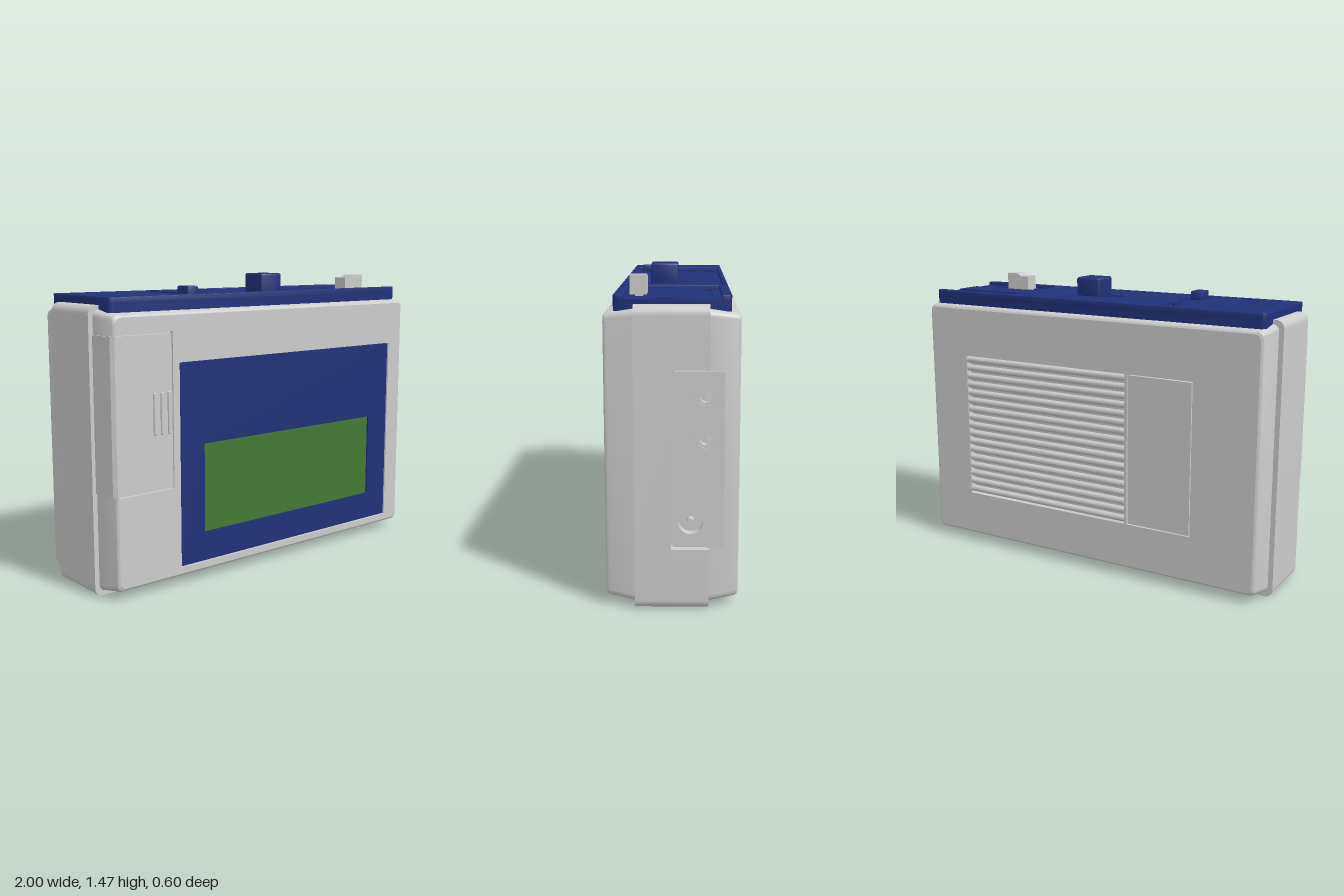
import * as THREE from 'three';
import { toCreasedNormals } from 'three/addons/utils/BufferGeometryUtils.js';
import { RoundedBoxGeometry } from 'three/addons/geometries/RoundedBoxGeometry.js';

const grey = new THREE.MeshStandardMaterial({ color: 0xcccccc });
const blue = new THREE.MeshStandardMaterial({ color: 0x223178 });
const green = new THREE.MeshStandardMaterial({ color: 0x447933 });

function add(parent, name, geometry, material = grey, x = 0, y = 0, z = 0) {
  const mesh = new THREE.Mesh(geometry, material);
  mesh.name = name;
  mesh.position.set(x, y, z);
  parent.add(mesh);
  return mesh;
}

function group(parent, name) {
  const g = new THREE.Group();
  g.name = name;
  parent.add(g);
  return g;
}

// Rounded rectangle, counter-clockwise
function rect(x0, x1, y0, y1, r = 0.004) {
  const s = new THREE.Shape();
  s.absarc(x1 - r, y0 + r, r, -Math.PI / 2, 0);
  s.absarc(x1 - r, y1 - r, r, 0, Math.PI / 2);
  s.absarc(x0 + r, y1 - r, r, Math.PI / 2, Math.PI);
  s.absarc(x0 + r, y0 + r, r, Math.PI, Math.PI * 1.5);
  s.closePath();
  return s;
}

function circle(x, y, r) {
  return new THREE.Shape().absarc(x, y, r, 0, Math.PI * 2);
}

// Extrusion between z0 and z1, with optional holes and rounded rim
function slab(shape, z0, z1, holes = [], bevel = 0) {
  shape.holes.push(...holes);
  const g = new THREE.ExtrudeGeometry(shape, {
    depth: z1 - z0 - 2 * bevel, curveSegments: 12, bevelEnabled: bevel > 0,
    bevelSize: bevel, bevelThickness: bevel, bevelOffset: -bevel, bevelSegments: 3,
  });
  g.translate(0, 0, z0 + bevel);
  return toCreasedNormals(g, 0.6);
}

// Skin through rounded rectangles given as [x0, x1, y0, y1, r, z]
function loft(sections) {
  const rings = sections.map(([x0, x1, y0, y1, r, z]) =>
    rect(x0, x1, y0, y1, r).getPoints(6).map((p) => [p.x, p.y, z]));
  const n = rings[0].length, index = [];
  for (let k = 0; k < rings.length - 1; k++) {
    for (let i = 0; i < n; i++) {
      const a = k * n + i, b = k * n + (i + 1) % n;
      index.push(a, b, b + n, a, b + n, a + n);
    }
  }
  const g = new THREE.BufferGeometry();
  g.setAttribute('position', new THREE.Float32BufferAttribute(rings.flat(2), 3));
  g.setIndex(index);
  return toCreasedNormals(g, 0.6);
}

// Tapered half shell with cut-outs in its face
function shell(parent, name, face, holes) {
  const g = group(parent, name);
  add(g, 'shellSides', loft([
    [-0.978, 0.978, 0.022, 1.33, 0.03, 0.15],
    [-0.958, 0.958, 0.042, 1.312, 0.03, face - 0.018],
    [-0.953, 0.953, 0.047, 1.307, 0.03, face - 0.006],
    [-0.943, 0.943, 0.057, 1.297, 0.03, face],
  ]));
  add(g, 'shellFace', slab(rect(-0.943, 0.943, 0.057, 1.297, 0.03), face - 0.035, face, holes));
  return g;
}

function buildFront(root) {
  const g = shell(root, 'frontShell', 0.29, [rect(-0.597, 0.852, 0.088, 1.077), rect(-0.938, -0.635, 0.485, 1.222)]);
  add(g, 'displayPanel', slab(rect(-0.593, 0.848, 0.092, 1.073), 0.25, 0.285, [rect(-0.45, 0.705, 0.235, 0.675)]), blue);
  add(g, 'screen', new THREE.BoxGeometry(1.17, 0.455, 0.02), green, 0.1275, 0.455, 0.266);

  // Door wraps around the corner to the side
  const section = new THREE.Shape([[-0.641, -0.24], [-0.641, -0.29], [-0.948, -0.29], [-0.964, -0.275], [-0.983, -0.162], [-0.9, -0.162]]
    .map(([x, z]) => new THREE.Vector2(x, z)));
  const door = slab(section, 0.491, 1.216);
  door.rotateX(-Math.PI / 2);
  add(g, 'frontDoor', door);
  add(g, 'doorGrooveFloor', new THREE.BoxGeometry(0.34, 0.75, 0.01), grey, -0.775, 0.853, 0.265);
  for (const x of [-0.74, -0.7, -0.66]) {
    add(g, 'gripRidge', new RoundedBoxGeometry(0.016, 0.2, 0.016, 2, 0.006), grey, x, 0.85, 0.291);
  }
}

// Back is modelled facing +z, then turned around
function buildBack(root) {
  const g = shell(root, 'backShell', 0.297, [rect(-0.72, 0.25, 0.28, 1.05), rect(0.265, 0.615, 0.28, 1.05)]);
  g.rotation.y = Math.PI;
  add(g, 'grilleFloor', new THREE.BoxGeometry(1.4, 0.82, 0.01), grey, -0.05, 0.665, 0.257);
  const count = 17, pitch = 0.77 / count;
  for (let i = 0; i < count; i++) {
    const slat = add(g, 'grilleSlat', new THREE.CylinderGeometry(0.017, 0.017, 0.97, 14), grey,
      -0.235, 0.28 + (i + 0.5) * pitch, 0.279);
    slat.rotation.z = Math.PI / 2;
  }
  add(g, 'backDoor', slab(rect(0.27, 0.61, 0.285, 1.045), 0.26, 0.296));
}

function buildBand(root) {
  add(root, 'middleBandFront', slab(rect(-1, 1, 0, 1.348, 0.04), 0, 0.16));
  // Rear part of the band is notched for the socket panel
  const s = new THREE.Shape();
  s.absarc(0.96, 0.04, 0.04, -Math.PI / 2, 0);
  for (const [x, y] of [[1, 0.28], [0.94, 0.28], [0.94, 1.075], [1, 1.075]]) s.lineTo(x, y);
  s.absarc(0.96, 1.308, 0.04, 0, Math.PI / 2);
  s.absarc(-0.96, 1.308, 0.04, Math.PI / 2, Math.PI);
  s.absarc(-0.96, 0.04, 0.04, Math.PI, Math.PI * 1.5);
  add(root, 'middleBandRear', slab(s, -0.165, 0));
}

// Socket panel is drawn in (-z, y) and turned to face +x
function buildSockets(root) {
  const g = group(root, 'socketPanel');
  g.rotation.y = Math.PI / 2;
  const jacks = [[0.15, 0.96], [0.15, 0.775]];
  add(g, 'panelPlate', slab(rect(0.006, 0.23, 0.286, 1.069, 0.01), 0.93, 0.982,
    [...jacks.map(([x, y]) => circle(x, y, 0.046)), circle(0.085, 0.4, 0.054)]));
  for (const [x, y] of jacks) {
    add(g, 'jackRing', slab(circle(x, y, 0.05), 0.95, 0.986, [circle(x, y, 0.04)]));
    add(g, 'jackSleeve', slab(circle(x, y, 0.041), 0.945, 0.98, [circle(x, y, 0.028)]));
  }
  const pin = add(g, 'powerPin', new THREE.CylinderGeometry(0.015, 0.015, 0.04, 16), grey, 0.085, 0.4, 0.958);
  pin.rotation.x = Math.PI / 2;
}

// Top cover is drawn in (x, -z) and turned to face up
function buildTop(root) {
  const g = group(root, 'topCover');
  g.rotation.x = -Math.PI / 2;
  add(g, 'coverBase', slab(rect(-0.945, 0.94, -0.247, 0.257, 0.025), 1.295, 1.36), blue);
  const rim = new THREE.Shape();
  rim.absarc(-0.92, 0.232, 0.025, Math.PI / 2, Math.PI);
  rim.absarc(-0.92, -0.222, 0.025, Math.PI, Math.PI * 1.5);
  rim.absarc(0.915, -0.222, 0.025, -Math.PI / 2, 0);
  for (const [x, y] of [[0.94, -0.205], [0.456, -0.205], [0.456, 0.215], [0.94, 0.215]]) rim.lineTo(x, y);
  rim.absarc(0.915, 0.232, 0.025, 0, Math.PI / 2);
  add(g, 'coverRim', slab(rim, 1.35, 1.385, [rect(-0.71, 0.45, -0.215, 0.235)], 0.008 * 0.3), blue);
  add(g, 'controlPlate', slab(rect(-0.704, 0.452, -0.209, 0.229), 1.35, 1.383,
    [rect(-0.48, -0.4, -0.195, 0.215), rect(-0.08, 0.33, -0.16, 0.08)]), blue);

  // Small switch in its channel
  add(g, 'switchChannel', slab(rect(-0.48, -0.4, -0.195, 0.215), 1.355, 1.376), blue);
  add(g, 'switchKnob', slab(rect(-0.467, -0.405, -0.185, -0.1, 0.006), 1.36, 1.42, [], 0.005), blue);
  add(g, 'switchMark', slab(rect(-0.447, -0.432, 0.08, 0.155), 1.36, 1.391), blue);

  // Main button in a dished recess
  add(g, 'buttonDish', loft([
    [-0.08, 0.33, -0.16, 0.08, 0.005, 1.383],
    [-0.02, 0.27, -0.13, 0.055, 0.005, 1.368],
    [-0.018, 0.268, -0.128, 0.053, 0.005, 1.358],
  ]), blue);
  add(g, 'mainButton', slab(rect(0.06, 0.195, -0.115, 0.02, 0.008), 1.34, 1.47, [], 0.012), blue);

  // Slider bay with two slots and a raised pad between them
  add(g, 'sliderBayFloor', slab(rect(0.456, 0.938, -0.205, 0.215), 1.352, 1.367,
    [rect(0.485, 0.85, 0.14, 0.177), rect(0.485, 0.85, -0.163, -0.125)]), blue);
  add(g, 'sliderPad', slab(rect(0.485, 0.925, -0.065, 0.085), 1.36, 1.374), blue);
  const knob = new THREE.Shape([[0.6, 1.355], [0.735, 1.355], [0.735, 1.455], [0.668, 1.455], [0.658, 1.445], [0.648, 1.445],
    [0.642, 1.436], [0.634, 1.441], [0.6, 1.441]].map(([x, y]) => new THREE.Vector2(x, y)));
  add(root, 'sliderKnob', slab(knob, 0.112, 0.187));
}

export function createModel() {
  const root = new THREE.Group();
  root.name = 'portablePlayer';
  buildBand(root);
  buildFront(root);
  buildBack(root);
  buildSockets(root);
  buildTop(root);
  return root;
}
